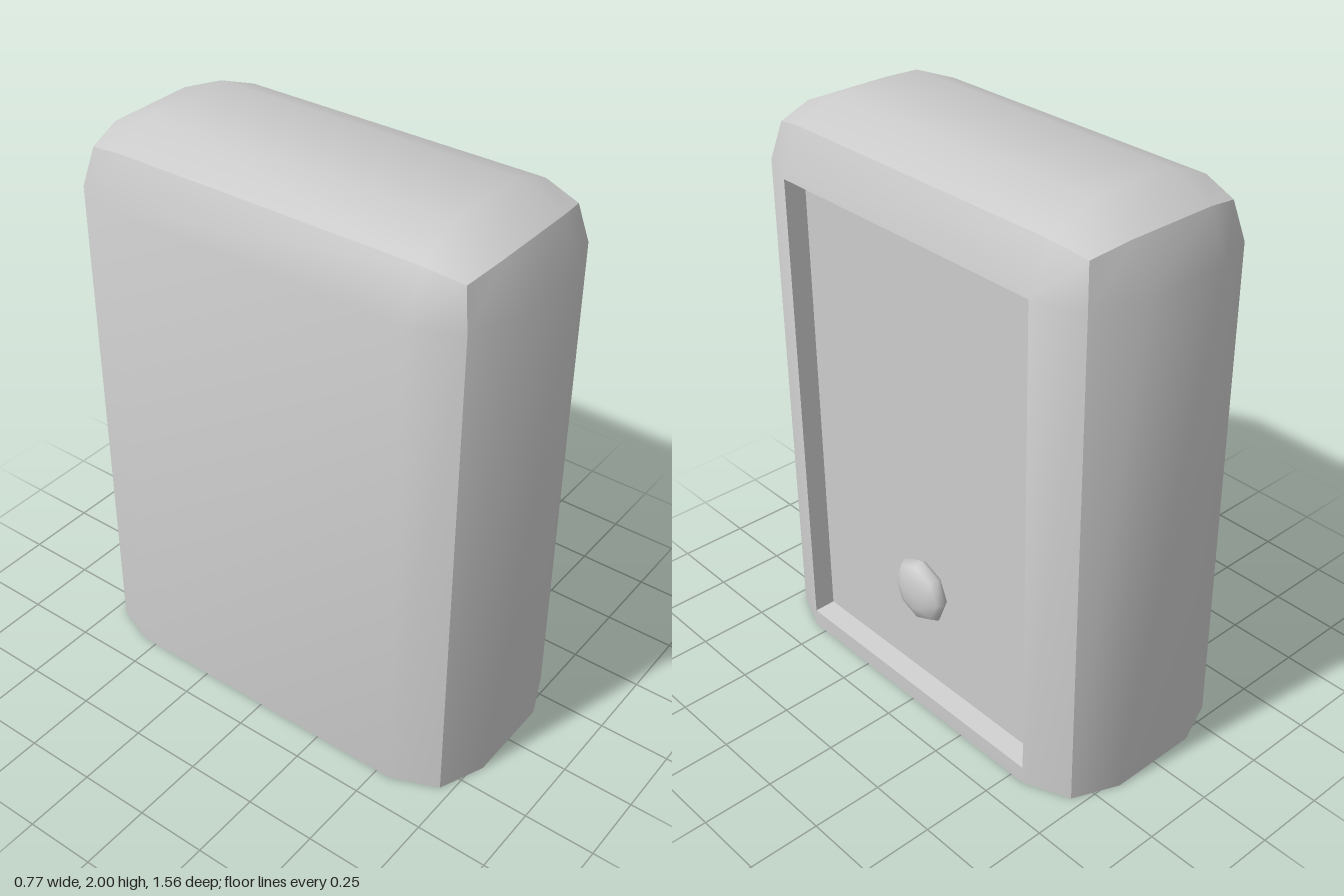
import * as THREE from 'three';
import { RoundedBoxGeometry } from 'three/addons/geometries/RoundedBoxGeometry.js';
import { toCreasedNormals } from 'three/addons/utils/BufferGeometryUtils.js';

const HX = 0.387, HZ = 0.778, TOP = 2, R = 0.225; // half width, half depth, height, corner radius
const CREASE = 0.6;

// Four corners of a rectangle at a given x, wound to face +x
const rect = (x, y0, y1, hz) => [[x, y0, -hz], [x, y1, -hz], [x, y1, hz], [x, y0, hz]];

function bodyGeometry() {
  // Rounded box whose lower rounding is flattened onto the ground
  let box = new RoundedBoxGeometry(2 * HX, TOP + R, 2 * HZ, 1, R);
  box.translate(0, (TOP - R) / 2, 0);
  if (box.index) box = box.toNonIndexed();
  const p = box.attributes.position;
  const points = [];
  for (let i = 0; i < p.count; i += 3) {
    const tri = [0, 1, 2].map(k => [p.getX(i + k), Math.max(p.getY(i + k), 0), p.getZ(i + k)]);
    // Leave the flat of the +x side open for the recess
    if (tri.every(v => v[0] > HX - 1e-4)) continue;
    points.push(...tri.flat());
  }

  const quad = (a, b, c, d) => points.push(...a, ...b, ...c, ...a, ...c, ...d);
  const flatZ = HZ - R, flatY = TOP - R, sill = 0.064, slope = 0.012, depth = 0.07;
  const rim = rect(HX, sill, flatY, flatZ);
  const floor = rect(HX - depth, sill + slope, flatY - slope, flatZ - slope);
  quad(...rect(HX, 0, sill, flatZ)); // sill strip
  quad(...floor);
  for (let i = 0; i < 4; i++) { // recess walls
    const j = (i + 1) % 4;
    quad(rim[i], rim[j], floor[j], floor[i]);
  }

  const geometry = new THREE.BufferGeometry();
  geometry.setAttribute('position', new THREE.Float32BufferAttribute(points, 3));
  return toCreasedNormals(geometry, CREASE);
}

export function createModel() {
  const group = new THREE.Group();
  const material = new THREE.MeshStandardMaterial({ color: 0xcccccc });

  const body = new THREE.Mesh(bodyGeometry(), material);
  body.name = 'body';

  // Flattened round button, its pole pointing out of the recess
  const buttonShape = new THREE.SphereGeometry(1, 8, 6);
  buttonShape.rotateZ(-Math.PI / 2);
  buttonShape.scale(0.05, 0.12, 0.12);
  const button = new THREE.Mesh(buttonShape, material);
  button.name = 'button';
  button.position.set(0.335, 0.452, 0);

  group.add(body, button);
  return group;
}
